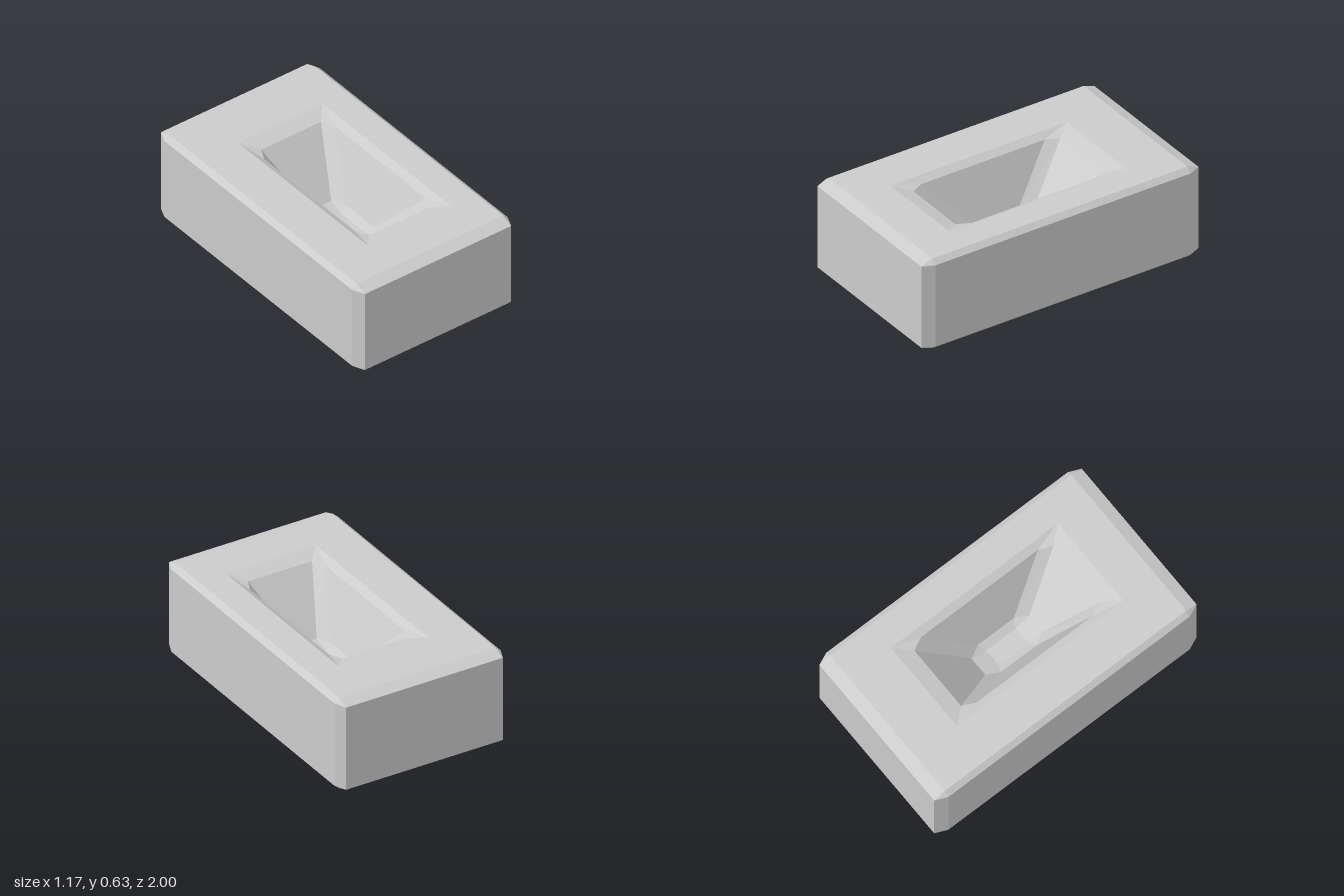
import * as THREE from 'three';

// Ring of 8 points: a rectangle (2hx by 2hz) whose corners are cut at bx, bz.
// With bx = hx and bz = hz the ring becomes a plain rectangle.
function ring(y, hx, hz, bx = hx, bz = hz, cx = 0, cz = 0) {
  return [
    [hx, -bz], [hx, bz], [bx, hz], [-bx, hz],
    [-hx, bz], [-hx, -bz], [-bx, -hz], [bx, -hz],
  ].map(([x, z]) => new THREE.Vector3(cx + x, y, cz + z));
}

// Joins successive rings with flat faces, skipping collapsed triangles.
function loft(rings, capFirst, capLast) {
  const pts = [];
  const tri = (a, b, c) => {
    if (new THREE.Triangle(a, b, c).getArea() > 1e-7) pts.push(a, b, c);
  };
  for (let r = 0; r < rings.length - 1; r++) {
    const a = rings[r], b = rings[r + 1];
    for (let i = 0; i < 8; i++) {
      const j = (i + 1) % 8;
      tri(a[j], a[i], b[i]);
      tri(a[j], b[i], b[j]);
    }
  }
  const first = rings[0], last = rings[rings.length - 1];
  for (let i = 1; i < 7; i++) {
    if (capFirst) tri(first[0], first[i], first[i + 1]);
    if (capLast) tri(last[0], last[i + 1], last[i]);
  }
  const geometry = new THREE.BufferGeometry().setFromPoints(pts);
  geometry.computeVertexNormals();
  return geometry;
}

export function createModel() {
  const group = new THREE.Group();
  group.name = 'hollowedBlock';
  const material = new THREE.MeshStandardMaterial({ color: 0xcccccc, flatShading: true });
  const add = (name, geometry) => {
    const mesh = new THREE.Mesh(geometry, material);
    mesh.name = name;
    group.add(mesh);
  };

  // The recess sits slightly off centre
  const cx = 0.045, cz = 0.03;
  const rim = ring(0.63, 0.315, 0.635, 0.315, 0.635, cx, cz);

  // Bevelled block, with its top face running in to the recess rim
  add('block', loft([
    ring(0, 0.55, 0.92),
    ring(0.03, 0.585, 1, 0.55, 0.92),
    ring(0.6, 0.585, 1, 0.55, 0.92),
    ring(0.63, 0.55, 0.92),
    rim,
  ], true, false));

  // Tapered recess: flared lip, sloping walls, bevelled floor
  add('recess', loft([
    rim,
    ring(0.6, 0.265, 0.53, 0.225, 0.445, cx, cz),
    ring(0.27, 0.11, 0.22, 0.065, 0.137, cx, cz),
    ring(0.24, 0.06, 0.112, 0.06, 0.112, cx, cz),
  ], false, true));

  return group;
}
